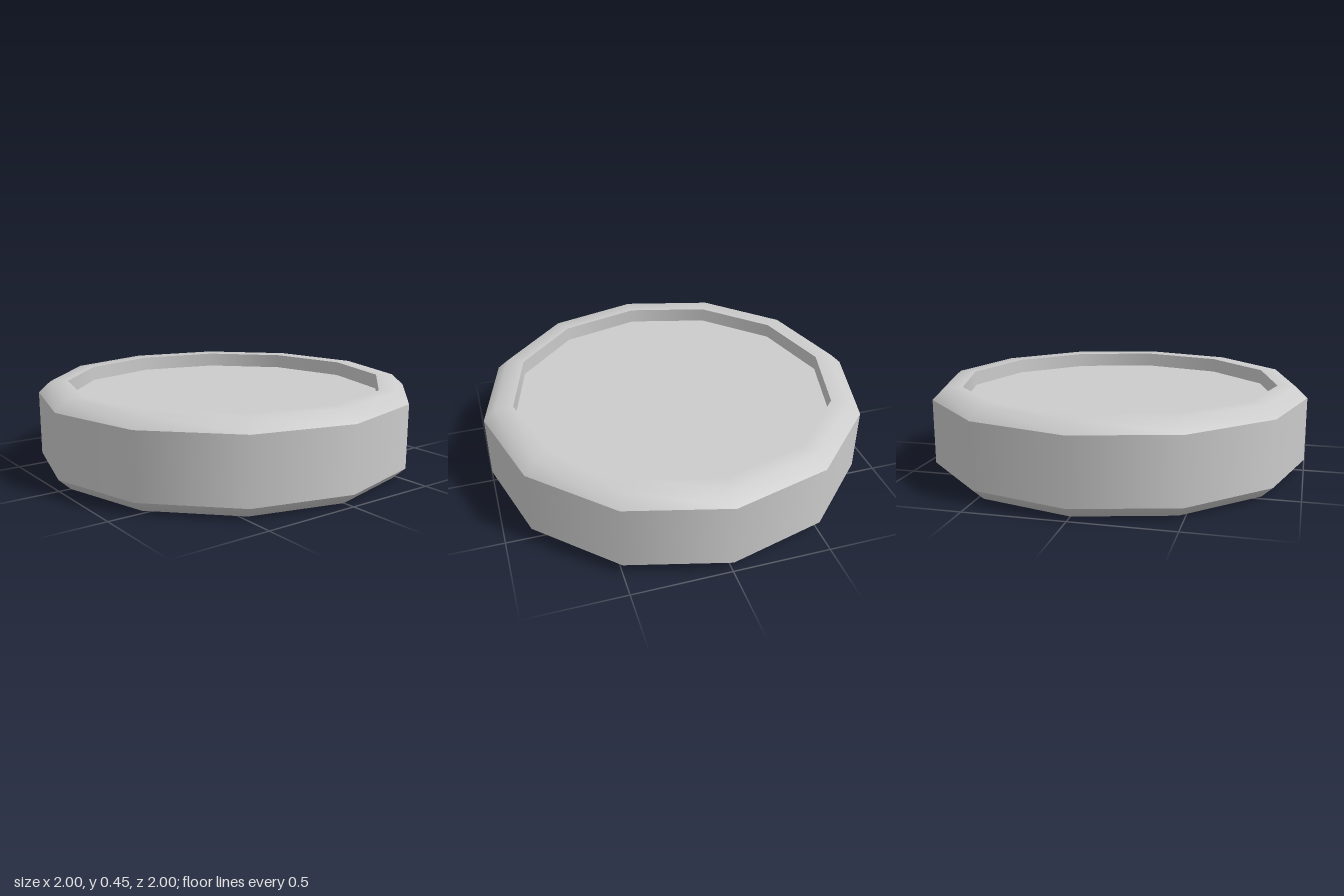
import * as THREE from 'three';

const SIDES = 12;
const HEIGHT = 0.45;
const OUTER = 1, RIM = 0.937, INNER = 0.845; // radii at the corners
const BEVEL = 0.058, RECESS = 0.078;

export function createModel() {
  const group = new THREE.Group();
  group.name = 'disc';
  const material = new THREE.MeshStandardMaterial({ color: 0xcccccc });

  const add = (name, geometry) => {
    const mesh = new THREE.Mesh(geometry, material);
    mesh.name = name;
    group.add(mesh);
    return mesh;
  };
  // Each band is its own lathe, smooth around and sharp at its borders
  const band = (name, points) =>
    add(name, new THREE.LatheGeometry(points.map(([r, y]) => new THREE.Vector2(r, y)), SIDES));

  // Outer wall
  band('outerWall', [[OUTER, BEVEL], [OUTER, HEIGHT - BEVEL]]);

  // Rim, recess wall and recessed panel, mirrored top and bottom
  for (const top of [true, false]) {
    const prefix = top ? 'top' : 'bottom';
    const level = (depth) => (top ? HEIGHT - depth : depth);
    const ordered = (points) => (top ? points : points.reverse());

    band(prefix + 'Rim', ordered([[OUTER, level(BEVEL)], [RIM, level(0)], [INNER, level(0)]]));
    band(prefix + 'RecessWall', ordered([[INNER, level(0)], [INNER, level(RECESS)]]));

    const panel = add(prefix + 'Panel', new THREE.CircleGeometry(INNER, SIDES));
    panel.rotation.x = top ? -Math.PI / 2 : Math.PI / 2;
    panel.position.y = level(RECESS);
  }
  return group;
}
